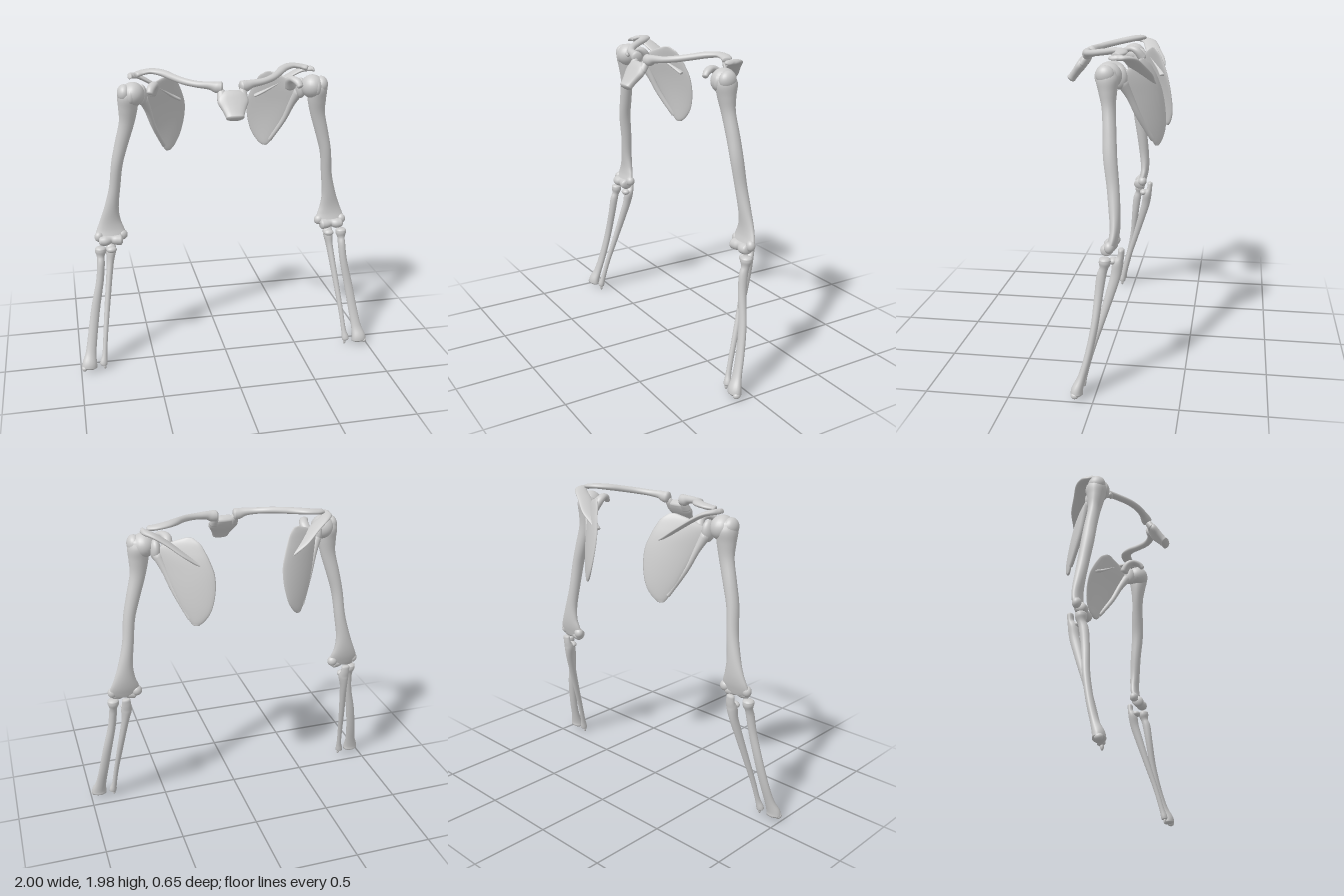
import * as THREE from 'three';

const SIDES = 20;
const V3 = (x, y, z) => new THREE.Vector3(x, y, z);

// Smooth closed bone through rows of [x, y, z, radiusA, radiusB];
// radiusA lies along ref, fixedT keeps all sections parallel.
function loft(rows, ref, fixedT = null, square = 1) {
  const spine = new THREE.CatmullRomCurve3(rows.map(r => V3(r[0], r[1], r[2])), false, 'catmullrom', 0.5);
  const radii = new THREE.CatmullRomCurve3(rows.map(r => V3(r[3], r[4], 0)), false, 'catmullrom', 0.5);
  const n = (rows.length - 1) * 5;
  const pos = [], index = [];
  const ring = (c, T, a, b) => {
    const U = ref.clone().addScaledVector(T, -ref.dot(T)).normalize();
    const W = T.clone().cross(U);
    for (let j = 0; j < SIDES; j++) {
      const t = j / SIDES * Math.PI * 2;
      const bend = v => Math.sign(v) * Math.pow(Math.abs(v), square);
      const p = c.clone().addScaledVector(U, a * bend(Math.cos(t))).addScaledVector(W, b * bend(Math.sin(t)));
      pos.push(p.x, p.y, p.z);
    }
  };
  let count = 0;
  for (let i = 0; i <= n; i++) {
    const c = spine.getPoint(i / n), T = fixedT || spine.getTangent(i / n), r = radii.getPoint(i / n);
    const a = Math.max(r.x, 0.004), b = Math.max(r.y, 0.004), m = Math.min(a, b);
    // rounded ends
    if (i === 0) { ring(c.clone().addScaledVector(T, -0.28 * m), T, a * 0.7, b * 0.7); count++; }
    ring(c, T, a, b); count++;
    if (i === n) { ring(c.clone().addScaledVector(T, 0.28 * m), T, a * 0.7, b * 0.7); count++; }
  }
  for (let i = 0; i < count - 1; i++) for (let j = 0; j < SIDES; j++) {
    const k = (j + 1) % SIDES, a = i * SIDES + j, b = i * SIDES + k;
    index.push(a, b, b + SIDES, a, b + SIDES, a + SIDES);
  }
  // end poles
  const last = (count - 1) * SIDES;
  for (const first of [0, last]) {
    const mid = V3(0, 0, 0);
    for (let j = 0; j < SIDES; j++) mid.add(V3(...pos.slice((first + j) * 3, (first + j) * 3 + 3)));
    mid.divideScalar(SIDES);
    const pole = pos.length / 3;
    pos.push(mid.x, mid.y, mid.z);
    for (let j = 0; j < SIDES; j++) {
      const a = first + j, b = first + (j + 1) % SIDES;
      if (first === 0) index.push(pole, b, a); else index.push(pole, a, b);
    }
  }
  const g = new THREE.BufferGeometry();
  g.setAttribute('position', new THREE.Float32BufferAttribute(pos, 3));
  g.setIndex(index);
  g.computeVertexNormals();
  return g;
}

const knob = (x, y, z, rx, ry = rx, rz = rx) =>
  new THREE.SphereGeometry(1, 24, 16).scale(rx, ry, rz).translate(x, y, z);

function mirrored(g) {
  const m = g.clone().scale(-1, 1, 1), ix = m.index;
  for (let i = 0; i < ix.count; i += 3) {
    const t = ix.getX(i);
    ix.setX(i, ix.getX(i + 2));
    ix.setX(i + 2, t);
  }
  return m;
}

// Shoulder blade: flat sections from [y, inner x, outer x, half thickness] on a tilted plane
function bladeGeometry() {
  const rows = [
    [1.39, 0.31, 0.345, 0.008], [1.42, 0.28, 0.365, 0.012], [1.49, 0.24, 0.40, 0.013],
    [1.6, 0.213, 0.44, 0.013], [1.7, 0.21, 0.475, 0.014], [1.78, 0.232, 0.505, 0.016],
    [1.83, 0.252, 0.50, 0.015], [1.875, 0.275, 0.43, 0.012], [1.905, 0.31, 0.355, 0.007],
  ].map(([y, a, b, t]) => {
    const x = (a + b) / 2;
    return [x, y, -0.09 + 0.605 * (x - 0.52) + 0.2 * (y - 1.81), (b - a) / 2 * 1.169, t];
  });
  const g = loft(rows, V3(0.855, 0, 0.518), V3(0, 1, 0));
  // hollow towards the ribs
  const p = g.attributes.position;
  for (let i = 0; i < p.count; i++) {
    const u = (p.getX(i) - 0.35) / 0.16, v = (p.getY(i) - 1.68) / 0.28;
    p.setZ(i, p.getZ(i) - 0.025 * Math.max(0, 1 - u * u) * Math.max(0, 1 - v * v));
  }
  g.computeVertexNormals();
  return g;
}

export function createModel() {
  const model = new THREE.Group();
  model.name = 'shoulderAndArmBones';
  const bone = new THREE.MeshStandardMaterial({ color: 0xcccccc });
  bone.name = 'bone grey';
  const X = V3(1, 0, 0), Y = V3(0, 1, 0), Z = V3(0, 0, 1);

  const parts = {
    collarbone: [
      loft([
        [0.062, 1.9, 0.182, 0.036, 0.034], [0.09, 1.902, 0.178, 0.035, 0.032], [0.13, 1.912, 0.17, 0.025, 0.025],
        [0.2, 1.918, 0.15, 0.02, 0.024], [0.27, 1.928, 0.105, 0.02, 0.024], [0.33, 1.942, 0.035, 0.02, 0.025],
        [0.38, 1.955, -0.035, 0.02, 0.03], [0.44, 1.961, -0.085, 0.017, 0.036],
        [0.5, 1.955, -0.09, 0.016, 0.036], [0.545, 1.945, -0.07, 0.017, 0.028],
      ], Y),
    ],
    shoulderBlade: [
      bladeGeometry(),
      // thick outer border
      loft([[0.36, 1.43, -0.265, 0.013, 0.014], [0.43, 1.58, -0.19, 0.016, 0.018],
        [0.47, 1.7, -0.142, 0.022, 0.022], [0.505, 1.79, -0.1, 0.032, 0.034]], X),
      // socket
      knob(0.512, 1.815, -0.085, 0.033, 0.066, 0.048),
    ],
    shoulderBladeSpine: [
      loft([
        [0.25, 1.735, -0.262, 0.02, 0.01], [0.31, 1.77, -0.245, 0.028, 0.012], [0.38, 1.82, -0.22, 0.045, 0.012],
        [0.46, 1.88, -0.175, 0.05, 0.013], [0.53, 1.922, -0.145, 0.045, 0.015],
        [0.575, 1.935, -0.1, 0.04, 0.017], [0.585, 1.937, -0.06, 0.03, 0.015],
      ], V3(0.4, 0.15, -1).normalize(), V3(0.85, 0.45, 0.28).normalize()),
    ],
    coracoidHook: [
      loft([[0.45, 1.82, -0.105, 0.035, 0.03], [0.435, 1.868, -0.07, 0.03, 0.026],
        [0.445, 1.885, -0.03, 0.027, 0.02], [0.465, 1.873, 0.01, 0.025, 0.02], [0.475, 1.848, 0.032, 0.02, 0.016]], X),
    ],
    upperArmBone: [
      loft([
        [0.605, 1.87, -0.03, 0.05, 0.05], [0.605, 1.82, -0.03, 0.064, 0.066], [0.606, 1.75, -0.033, 0.06, 0.054],
        [0.618, 1.653, -0.04, 0.048, 0.04], [0.655, 1.52, -0.05, 0.042, 0.04], [0.688, 1.387, -0.058, 0.037, 0.041],
        [0.708, 1.227, -0.077, 0.036, 0.037], [0.733, 1.09, -0.09, 0.046, 0.034], [0.744, 1.0, -0.095, 0.066, 0.03],
        [0.747, 0.94, -0.09, 0.088, 0.028], [0.748, 0.895, -0.078, 0.1, 0.028], [0.748, 0.87, -0.068, 0.088, 0.03],
      ], X),
      // ball and outer bump
      knob(0.572, 1.834, -0.032, 0.072, 0.075, 0.078),
      knob(0.627, 1.845, -0.022, 0.043, 0.055, 0.055),
      knob(0.59, 1.83, 0.02, 0.025, 0.045, 0.025),
      // elbow corners
      knob(0.672, 0.893, -0.085, 0.034, 0.034, 0.03),
      knob(0.826, 0.893, -0.072, 0.03, 0.034, 0.028),
    ],
    elbowSpool: [
      loft([[0.685, 0.868, -0.062, 0.036, 0.042], [0.72, 0.87, -0.062, 0.034, 0.038], [0.752, 0.876, -0.062, 0.027, 0.03],
        [0.785, 0.87, -0.055, 0.034, 0.038], [0.82, 0.872, -0.055, 0.03, 0.034]], Y),
    ],
    radiusBone: [
      loft([
        [0.822, 0.822, -0.047, 0.036, 0.034], [0.822, 0.798, -0.046, 0.036, 0.034], [0.824, 0.765, -0.04, 0.025, 0.025],
        [0.826, 0.715, -0.026, 0.025, 0.028], [0.84, 0.6, -0.012, 0.025, 0.025], [0.876, 0.43, 0.006, 0.029, 0.022],
        [0.906, 0.26, 0.038, 0.031, 0.022], [0.928, 0.13, 0.073, 0.035, 0.024],
        [0.942, 0.06, 0.098, 0.048, 0.034], [0.945, 0.03, 0.102, 0.051, 0.036],
      ], X),
      // wrist point
      knob(0.978, 0.03, 0.108, 0.02, 0.02, 0.024),
    ],
    ulnaBone: [
      loft([
        [0.752, 0.862, -0.132, 0.027, 0.018], [0.75, 0.815, -0.128, 0.03, 0.02], [0.751, 0.775, -0.112, 0.034, 0.032],
        [0.76, 0.7, -0.1, 0.024, 0.03], [0.774, 0.6, -0.072, 0.021, 0.027], [0.798, 0.43, -0.022, 0.019, 0.021],
        [0.822, 0.25, 0.033, 0.016, 0.017], [0.838, 0.11, 0.07, 0.016, 0.017],
        [0.848, 0.055, 0.084, 0.024, 0.022], [0.851, 0.035, 0.088, 0.024, 0.022],
      ], X),
      // front lip of the elbow notch and wrist point
      knob(0.748, 0.79, -0.085, 0.034, 0.022, 0.028),
      knob(0.843, 0.022, 0.09, 0.01, 0.022, 0.01),
    ],
  };

  for (const side of ['left', 'right']) {
    const half = new THREE.Group();
    half.name = side + 'Side';
    for (const [name, geos] of Object.entries(parts)) {
      const part = new THREE.Group();
      part.name = name;
      for (const g of geos) {
        const mesh = new THREE.Mesh(side === 'left' ? g : mirrored(g), bone);
        mesh.name = name;
        part.add(mesh);
      }
      half.add(part);
    }
    model.add(half);
  }

  // Top of the breastbone, with raised corners either side of a notch
  const breastbone = new THREE.Group();
  breastbone.name = 'breastbone';
  const plate = loft([
    [0, 1.872, 0.2, 0.066, 0.026], [0, 1.85, 0.215, 0.088, 0.03], [0, 1.82, 0.235, 0.095, 0.03],
    [0, 1.785, 0.262, 0.075, 0.027], [0, 1.755, 0.285, 0.06, 0.026], [0, 1.737, 0.3, 0.054, 0.028],
  ], X, null, 0.75);
  const corner = loft([[0.06, 1.835, 0.22, 0.035, 0.026], [0.064, 1.87, 0.198, 0.026, 0.024], [0.066, 1.888, 0.188, 0.016, 0.018]], X);
  for (const g of [plate, corner, mirrored(corner)]) {
    const mesh = new THREE.Mesh(g, bone);
    mesh.name = 'breastbone';
    breastbone.add(mesh);
  }
  model.add(breastbone);
  return model;
}
